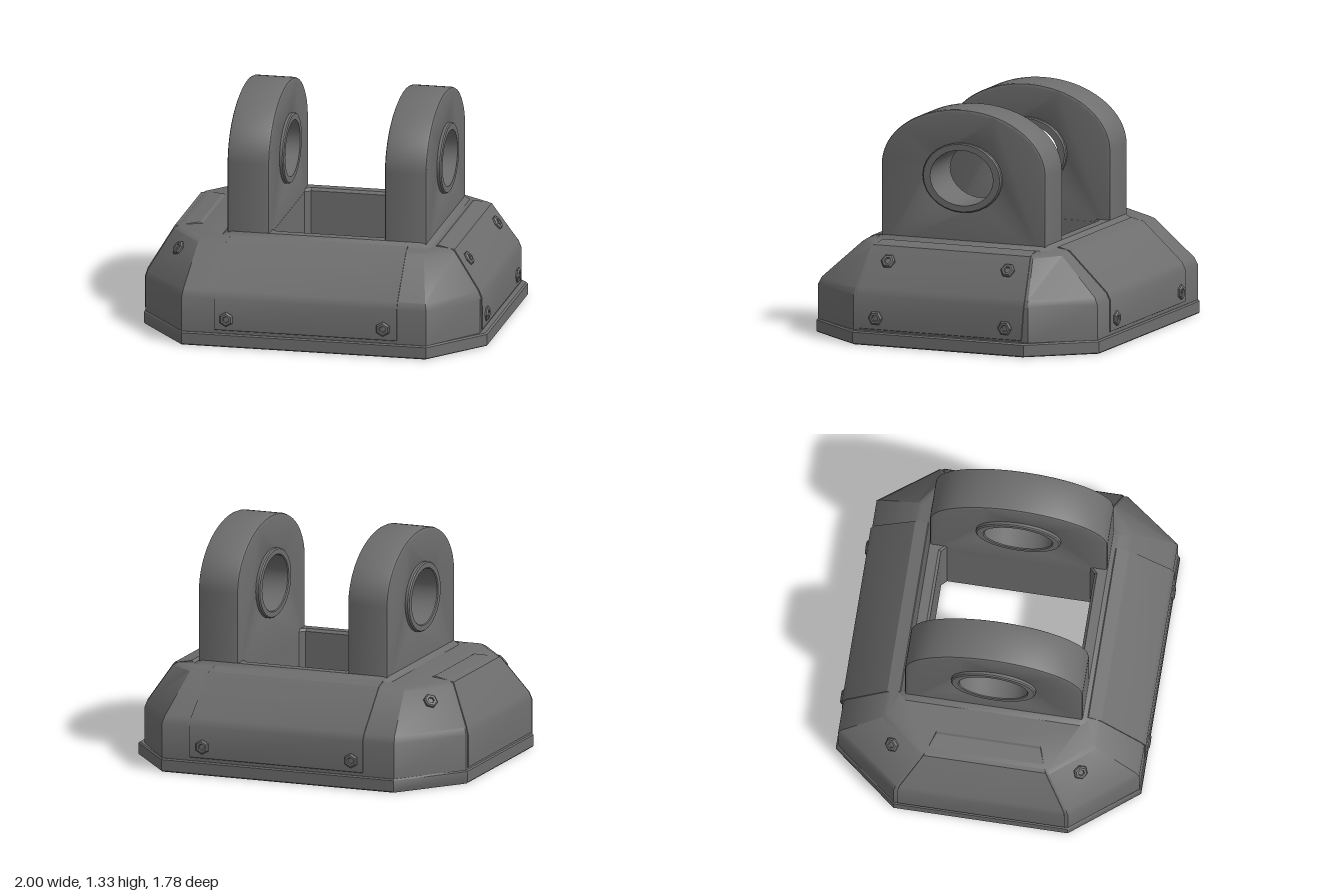
import * as THREE from 'three';
import { toCreasedNormals } from 'three/addons/utils/BufferGeometryUtils.js';

const metal = new THREE.MeshStandardMaterial({ color: 0x6e6e6e });
metal.name = 'grey metal';

// Skin a list of equal-length rings of [x, y, z] points
function loft(rings, crease = 0.6) {
  const pos = [];
  const n = rings[0].length;
  const area = (t) => new THREE.Triangle(...t.map((p) => new THREE.Vector3(...p))).getArea();
  const tri = (...t) => { if (area(t) > 1e-9) pos.push(...t.flat()); };
  for (let i = 0; i < rings.length - 1; i++) {
    for (let j = 0; j < n; j++) {
      const k = (j + 1) % n;
      const [a, b, c, d] = [rings[i][j], rings[i][k], rings[i + 1][k], rings[i + 1][j]];
      tri(a, b, c);
      tri(a, c, d);
    }
  }
  const g = new THREE.BufferGeometry();
  g.setAttribute('position', new THREE.Float32BufferAttribute(pos, 3));
  g.computeVertexNormals();
  return toCreasedNormals(g, crease);
}

// Rectangle with cut corners: x limits, half depth, then where the cuts start
function octagon(y, xl, xr, z, cl, cr, zl, zr) {
  return [[cl, y, z], [cr, y, z], [xr, y, zr], [xr, y, -zr],
    [cr, y, -z], [cl, y, -z], [xl, y, -zl], [xl, y, zl]];
}
const opening = (y, grow = 0) =>
  octagon(y, -0.27 - grow, 0.4 + grow, 0.44 + grow, -0.24, 0.37, 0.41, 0.41);

// Panel rows: [y, distance out, left edge, right edge], seen from its own side
function panelGeometry(rows) {
  const t = 0.03;
  const rings = rows.map(([y, o, l, r]) =>
    [[l, y, o], [r, y, o], [r, y - t * 0.5, o - t], [l, y - t * 0.5, o - t]]);
  const cap = (ring) => Array(4).fill(
    [0, 1, 2].map((i) => ring.reduce((s, p) => s + p[i], 0) / 4));
  return loft([cap(rings[0]), ...rings, cap(rings[rings.length - 1])], 0.5);
}

export function createModel() {
  const model = new THREE.Group();
  model.name = 'clevisMount';
  const add = (geometry, name) => {
    const mesh = new THREE.Mesh(geometry, metal);
    mesh.name = name;
    model.add(mesh);
    return mesh;
  };

  // Base flange
  add(loft([
    opening(0),
    octagon(0, -0.995, 0.995, 0.87, -0.7, 0.715, 0.5, 0.52),
    octagon(0.006, -1, 1, 0.875, -0.7, 0.72, 0.5, 0.53),
    octagon(0.07, -1, 1, 0.875, -0.7, 0.72, 0.5, 0.53),
    octagon(0.078, -0.99, 0.99, 0.868, -0.7, 0.715, 0.5, 0.53),
    octagon(0.078, -0.9, 0.9, 0.8, -0.65, 0.65, 0.45, 0.45),
  ]), 'baseFlange');

  // Sloped housing, raised saddle and the walls of the through opening
  add(loft([
    octagon(0.07, -0.992, 0.96, 0.864, -0.7, 0.72, 0.5, 0.54),
    octagon(0.28, -0.992, 0.96, 0.864, -0.7, 0.72, 0.5, 0.54),
    octagon(0.32, -0.98, 0.945, 0.845, -0.695, 0.71, 0.488, 0.535),
    octagon(0.535, -0.856, 0.8, 0.615, -0.66, 0.65, 0.37, 0.5),
    octagon(0.55, -0.83, 0.775, 0.59, -0.64, 0.63, 0.36, 0.49),
    octagon(0.555, -0.545, 0.67, 0.54, -0.51, 0.63, 0.5, 0.5),
    octagon(0.58, -0.515, 0.64, 0.51, -0.49, 0.62, 0.49, 0.49),
    opening(0.58, 0.015),
    opening(0.565),
    opening(0),
  ]), 'housing');

  // Thin cover panels on the four sides
  const longRows = (l, r) => [[0.1, 0.872, l, r], [0.28, 0.872, l, r],
    [0.325, 0.85, l, r], [0.545, 0.613, l + 0.015, r - 0.005], [0.562, 0.54, l + 0.02, r - 0.01]];
  const rightRows = [[0.09, 0.967, -0.5, 0.5], [0.28, 0.967, -0.515, 0.515],
    [0.325, 0.949, -0.515, 0.515], [0.545, 0.8, -0.485, 0.485], [0.562, 0.7, -0.47, 0.47]];
  const leftRows = [[0.09, 0.998, -0.48, 0.48], [0.28, 0.998, -0.48, 0.48],
    [0.325, 0.984, -0.47, 0.47], [0.545, 0.856, -0.35, 0.35], [0.56, 0.72, -0.3, 0.3]];
  [
    ['frontPanel', longRows(-0.51, 0.55), 0],
    ['backPanel', longRows(-0.55, 0.51), Math.PI],
    ['leftPanel', rightRows, Math.PI / 2],
    ['rightPanel', leftRows, -Math.PI / 2],
  ].forEach(([name, rows, turn]) => { add(panelGeometry(rows), name).rotation.y = turn; });

  // Rounded lugs with elliptical pin holes
  const lugShape = new THREE.Shape();
  const w = 0.495;
  lugShape.moveTo(-w, 0.5);
  lugShape.lineTo(w, 0.5);
  lugShape.lineTo(w, 0.98);
  lugShape.absellipse(0, 0.98, w, 0.335, 0, Math.PI, false);
  lugShape.closePath();
  const pinHole = new THREE.Path();
  pinHole.absellipse(0, 0.94, 0.22, 0.18, 0, Math.PI * 2, true);
  lugShape.holes.push(pinHole);
  const lugGeometry = toCreasedNormals(new THREE.ExtrudeGeometry(lugShape, {
    depth: 0.215, curveSegments: 20, bevelSize: 0.015, bevelThickness: 0.015, bevelSegments: 2,
  }).translate(0, 0, -0.1075), 0.6);

  // Bushing sleeves lining the pin holes
  const sleeve = [[0.16, -0.145], [0.165, -0.145], [0.194, -0.145], [0.2, -0.138],
    [0.2, 0.138], [0.194, 0.145], [0.165, 0.145], [0.16, 0.14], [0.16, -0.145]];
  const bushingGeometry = toCreasedNormals(new THREE.LatheGeometry(
    sleeve.map(([r, y]) => new THREE.Vector2(r, y)), 28).scale(1, 1, 1.22), 0.6);
  [['right', -0.393], ['left', 0.521]].forEach(([side, x]) => {
    const lug = add(lugGeometry, side + 'Lug');
    lug.rotation.y = Math.PI / 2;
    lug.position.x = x;
    const bushing = add(bushingGeometry, side + 'Bushing');
    bushing.rotation.z = Math.PI / 2;
    bushing.position.set(x, 0.94, 0);
  });

  // Hexagonal socket bolts
  const boltProfile = [[0.043, -0.01], [0.043, 0.008], [0.034, 0.016], [0.02, 0.016],
    [0.017, 0.006], [0, 0.006]];
  const boltGeometry = toCreasedNormals(new THREE.LatheGeometry(
    boltProfile.map(([r, y]) => new THREE.Vector2(r, y)), 6), 0.3);
  const up = new THREE.Vector3(0, 1, 0);
  const bolt = (name, position, normal) => {
    const mesh = add(boltGeometry, name);
    mesh.position.set(...position);
    mesh.quaternion.setFromUnitVectors(up, new THREE.Vector3(...normal).normalize());
  };
  for (const s of [1, -1]) {
    for (const x of [-0.44, 0.47]) bolt('longSideBolt', [x, 0.165, 0.872 * s], [0, 0, s]);
    bolt('lowerEndBolt', [0.967, 0.155, 0.4 * s], [1, 0, 0]);
    bolt('upperEndBolt', [0.856, 0.465, 0.37 * s], [0.83, 0.56, 0]);
    bolt('cornerBolt', [-0.79, 0.47, 0.54 * s], [-0.195, 0.2, 0.155 * s]);
  }
  return model;
}
